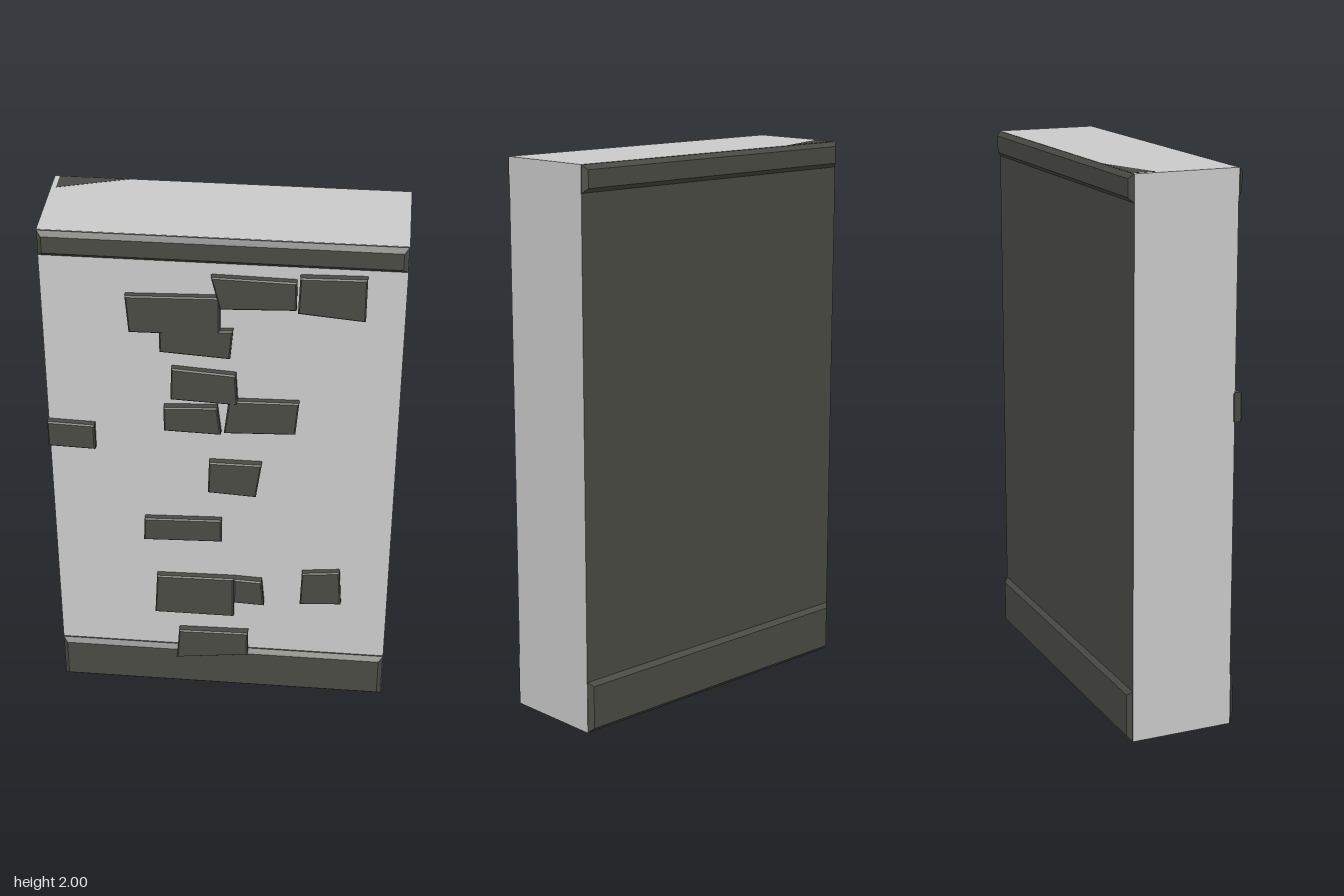
import * as THREE from 'three';

const light = new THREE.MeshStandardMaterial({ name: 'plaster grey', color: 0xcacaca });
const dark = new THREE.MeshStandardMaterial({ name: 'dark stone', color: 0x4a4a44 });

// Corners of each exposed brick: top left, top right, bottom right, bottom left
const BRICKS = [
  [-0.33, 1.77, -0.005, 1.78, -0.005, 1.63, -0.32, 1.625],
  [-0.035, 1.86, 0.255, 1.855, 0.255, 1.745, -0.005, 1.735],
  [0.265, 1.875, 0.49, 1.88, 0.49, 1.715, 0.26, 1.735],
  [-0.215, 1.635, 0.04, 1.65, 0.03, 1.535, -0.215, 1.55],
  [-0.175, 1.485, 0.05, 1.47, 0.057, 1.345, -0.18, 1.355],
  [-0.205, 1.32, -0.015, 1.33, -0.002, 1.215, -0.205, 1.22],
  [0.025, 1.36, 0.273, 1.365, 0.262, 1.23, 0.008, 1.22],
  [-0.625, 1.23, -0.455, 1.225, -0.455, 1.12, -0.625, 1.125],
  [-0.045, 1.09, 0.145, 1.09, 0.125, 0.945, -0.05, 0.955],
  [-0.285, 0.815, 0, 0.825, 0, 0.725, -0.29, 0.715],
  [-0.245, 0.545, 0.045, 0.55, 0.045, 0.365, -0.255, 0.365],
  [0.045, 0.55, 0.15, 0.545, 0.16, 0.43, 0.045, 0.435],
  [0.3, 0.595, 0.44, 0.61, 0.45, 0.455, 0.295, 0.445],
  [-0.165, 0.28, 0.1, 0.285, 0.1, 0.175, -0.175, 0.14],
];

function polygon(c) {
  const pts = [];
  for (let i = 0; i < c.length; i += 2) pts.push(new THREE.Vector2(c[i], c[i + 1]));
  return new THREE.Shape(pts);
}

// Beam running through the wall, chamfered where it stands out front and back
function beam(name, y0, y1) {
  const b = 0.016, x = 0.621 - b;
  const shape = polygon([-x, y0 + b, x, y0 + b, x, y1 - b, -x, y1 - b]);
  const geo = new THREE.ExtrudeGeometry(shape, {
    depth: 0.385, bevelEnabled: true, bevelSegments: 1, bevelSize: b, bevelThickness: b,
  });
  geo.translate(0, 0, -0.2);
  const mesh = new THREE.Mesh(geo, dark);
  mesh.name = name;
  return mesh;
}

// Brick with a slightly chamfered face
function brick(corners, i) {
  const geo = new THREE.ExtrudeGeometry(polygon(corners), {
    depth: 0.025, bevelEnabled: true, bevelSegments: 1,
    bevelSize: 0.005, bevelOffset: -0.005, bevelThickness: 0.005,
  });
  geo.translate(0, 0, i === 13 ? 0.18 : 0.175 + (i % 3) * 0.002);
  const mesh = new THREE.Mesh(geo, dark);
  mesh.name = 'brick' + (i + 1);
  return mesh;
}

// Thin horizontal patch where a beam shows through the wall's end
function patch(name, corners, y) {
  const geo = new THREE.ExtrudeGeometry(polygon(corners), { depth: 0.001, bevelEnabled: false });
  geo.rotateX(Math.PI / 2); // shape y becomes z
  geo.translate(0, y, 0);
  const mesh = new THREE.Mesh(geo, dark);
  mesh.name = name;
  return mesh;
}

export function createModel() {
  const group = new THREE.Group();
  group.name = 'wallSegment';

  // Plastered wall with a dark back
  const wall = new THREE.Mesh(
    new THREE.BoxGeometry(1.245, 2, 0.38),
    [light, light, light, light, light, dark],
  );
  wall.name = 'wall';
  wall.position.set(0, 1, -0.01);
  group.add(wall);

  group.add(beam('bottomBeam', 0.001, 0.19), beam('topBeam', 1.905, 1.999));

  const bricks = new THREE.Group();
  bricks.name = 'exposedBricks';
  BRICKS.forEach((c, i) => bricks.add(brick(c, i)));
  group.add(bricks);

  group.add(
    patch('topPatch', [-0.605, -0.198, -0.36, -0.198, -0.605, -0.115], 2.0006),
    patch('bottomPatch', [-0.61, -0.17, 0.61, 0.178, -0.61, 0.178], 0.0004),
  );
  return group;
}
